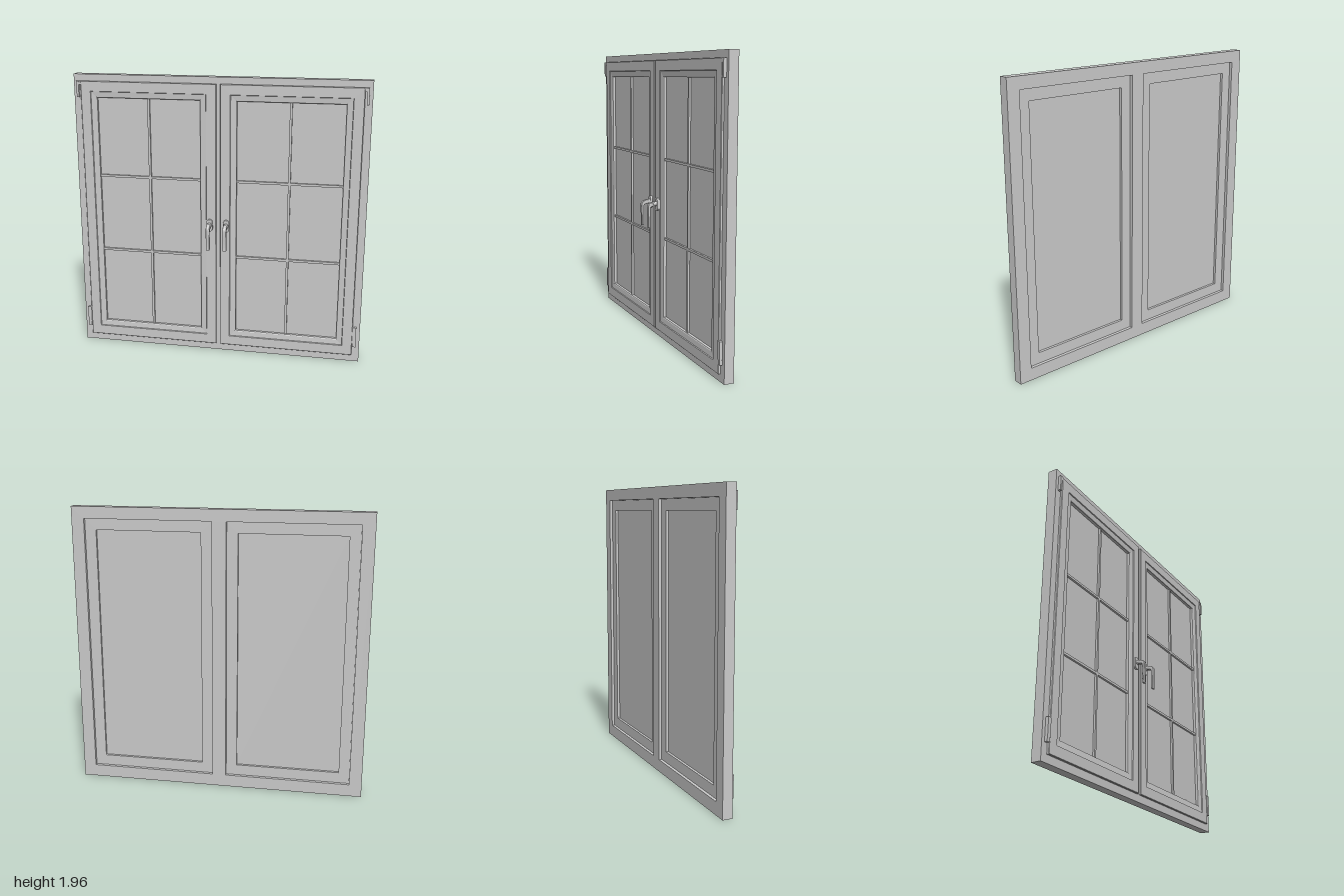
import * as THREE from 'three';

const material = new THREE.MeshStandardMaterial({ color: 0xcccccc });

function add(parent, name, geometry, x = 0, y = 0, z = 0) {
  const mesh = new THREE.Mesh(geometry, material);
  mesh.name = name;
  mesh.position.set(x, y, z);
  parent.add(mesh);
  return mesh;
}

// Box given by its limits on each axis
function block(parent, name, x0, x1, y0, y1, z0, z1) {
  return add(parent, name, new THREE.BoxGeometry(x1 - x0, y1 - y0, z1 - z0),
    (x0 + x1) / 2, (y0 + y1) / 2, (z0 + z1) / 2);
}

function rectangle(Type, x0, x1, y0, y1) {
  return new Type([[x0, y0], [x1, y0], [x1, y1], [x0, y1]].map(p => new THREE.Vector2(...p)));
}

// Mitred rectangular ring: a closed [inset, z] section swept round four corners
function mitredRing(x0, x1, y0, y1, section) {
  const corners = ([d, z]) => [
    [x0 + d, y0 + d, z], [x1 - d, y0 + d, z], [x1 - d, y1 - d, z], [x0 + d, y1 - d, z]];
  const positions = [];
  section.forEach((point, i) => {
    const a = corners(point), b = corners(section[(i + 1) % section.length]);
    for (let k = 0; k < 4; k++) {
      const n = (k + 1) % 4;
      positions.push(...a[k], ...a[n], ...b[n], ...a[k], ...b[n], ...b[k]);
    }
  });
  const geometry = new THREE.BufferGeometry();
  geometry.setAttribute('position', new THREE.Float32BufferAttribute(positions, 3));
  geometry.computeVertexNormals();
  return geometry;
}

// Lever handle on an oblong backplate
function createHandle() {
  const handle = new THREE.Group();
  handle.name = 'handle';

  const plate = new THREE.Shape();
  plate.absarc(0, 0.965, 0.019, 0, Math.PI, false);
  plate.absarc(0, 0.921, 0.019, Math.PI, Math.PI * 2, false);
  add(handle, 'handlePlate', new THREE.ExtrudeGeometry(plate, {
    depth: 0.012, bevelThickness: 0.003, bevelSize: 0.002, bevelSegments: 2, curveSegments: 16 }));

  const neck = new THREE.CylinderGeometry(0.014, 0.016, 0.03, 24).rotateX(Math.PI / 2);
  add(handle, 'handleNeck', neck, 0, 0.948, 0.027);

  // Side outline of the lever (z, y), extruded across its width
  const side = new THREE.Shape();
  side.moveTo(0.03, 0.959);
  side.lineTo(0.052, 0.953);
  side.quadraticCurveTo(0.074, 0.948, 0.075, 0.925);
  side.bezierCurveTo(0.076, 0.88, 0.069, 0.83, 0.073, 0.787);
  side.lineTo(0.065, 0.787);
  side.bezierCurveTo(0.061, 0.83, 0.066, 0.88, 0.063, 0.918);
  side.quadraticCurveTo(0.062, 0.932, 0.05, 0.934);
  side.lineTo(0.03, 0.937);
  const lever = new THREE.ExtrudeGeometry(side, {
    depth: 0.018, bevelThickness: 0.004, bevelSize: 0.003, bevelSegments: 3, curveSegments: 12 });
  lever.translate(0, 0, -0.009).rotateY(-Math.PI / 2);
  add(handle, 'handleLever', lever);
  return handle;
}

// Casement with stepped profile, glass and glazing bars
function createSash(side) {
  const sash = new THREE.Group();
  sash.name = side < 0 ? 'rightSash' : 'leftSash';
  const [x0, x1] = side < 0 ? [-0.95, -0.013] : [0.013, 0.95];
  const y0 = 0.05, y1 = 1.91;
  add(sash, 'sashFrame', mitredRing(x0, x1, y0, y1, [
    [0, -0.0155], [0, -0.003], [0.003, 0], [0.068, 0], [0.071, -0.006],
    [0.106, -0.009], [0.111, -0.013], [0.111, -0.06], [0.036, -0.06], [0.036, -0.0155]]));

  const gx0 = x0 + 0.11, gx1 = x1 - 0.11, gy0 = y0 + 0.11, gy1 = y1 - 0.11;
  block(sash, 'glass', gx0, gx1, gy0, gy1, -0.042, -0.032);
  const mid = (gx0 + gx1) / 2;
  block(sash, 'verticalGlazingBar', mid - 0.008, mid + 0.008, gy0, gy1, -0.033, -0.018);
  for (const y of [0.713, 1.254]) {
    block(sash, 'horizontalGlazingBar', gx0, gx1, y - 0.008, y + 0.008, -0.033, -0.018);
  }

  const handle = createHandle();
  handle.position.x = side * 0.058;
  sash.add(handle);
  return sash;
}

// Hinge covers on the outer edge of a sash
function createHinges(side) {
  const hinges = new THREE.Group();
  hinges.name = 'hinges';
  const part = (name, a, b, y0, y1, z1) =>
    block(hinges, name, Math.min(side * a, side * b), Math.max(side * a, side * b), y0, y1, -0.016, z1);
  part('upperHingeCover', 0.962, 0.977, 1.8, 1.91, 0.005);
  part('upperHingeArm', 0.949, 0.963, 1.885, 1.91, 0.002);
  part('lowerHingeCover', 0.949, 0.975, 0.145, 0.26, 0.005);
  part('lowerHingePin', 0.953, 0.976, 0.115, 0.146, 0.004);
  return hinges;
}

export function createModel() {
  const model = new THREE.Group();
  model.name = 'window';

  // Fixed outer frame with a central post between two openings
  const outline = rectangle(THREE.Shape, -1, 1, 0, 1.955);
  for (const [a, b] of [[-0.915, -0.048], [0.048, 0.915]]) {
    outline.holes.push(rectangle(THREE.Path, a, b, 0.085, 1.875));
  }
  add(model, 'outerFrame',
    new THREE.ExtrudeGeometry(outline, { depth: 0.065, bevelEnabled: false }), 0, 0, -0.08);

  for (const side of [-1, 1]) model.add(createSash(side), createHinges(side));
  return model;
}
